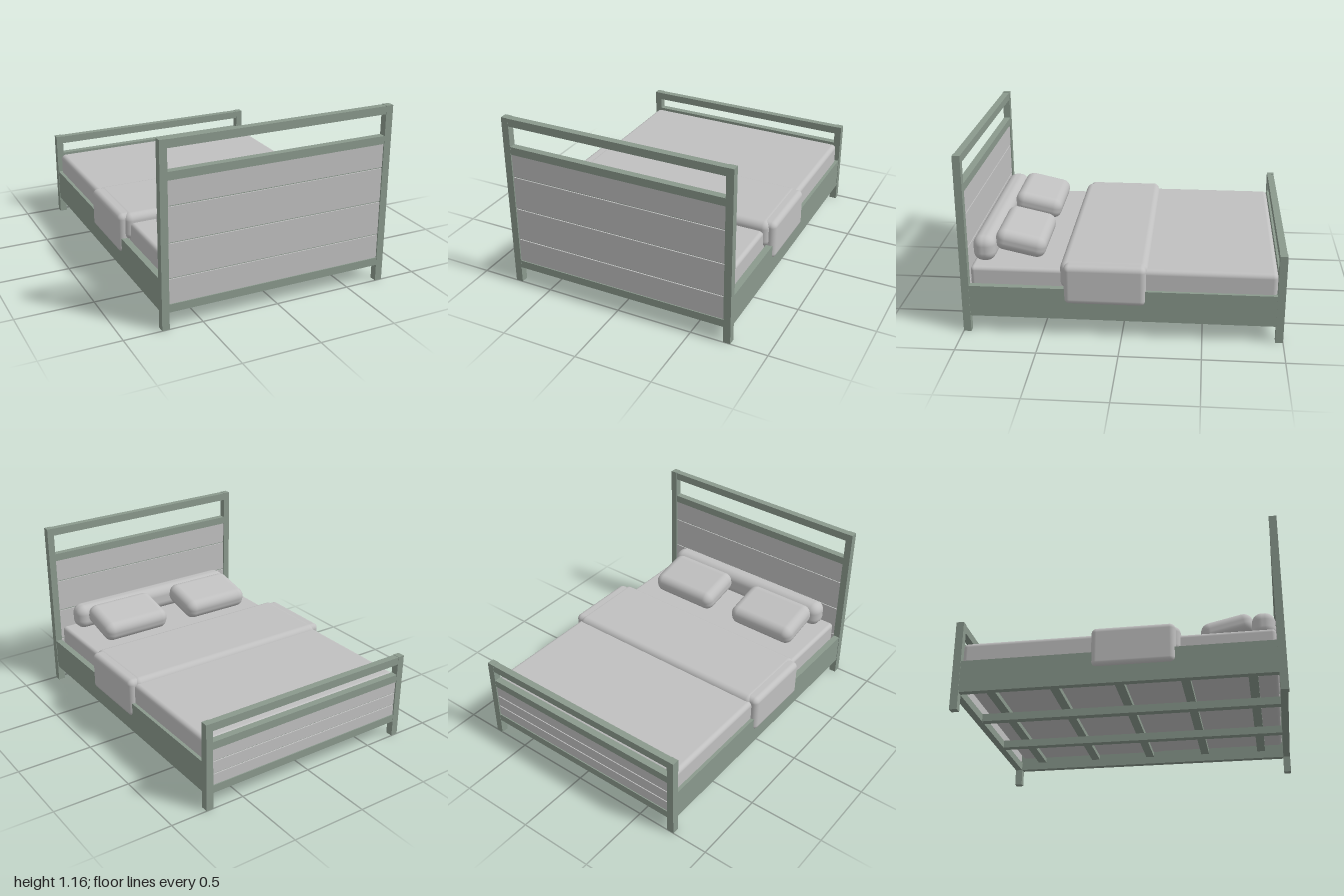
import * as THREE from 'three';
import { RoundedBoxGeometry } from 'three/addons/geometries/RoundedBoxGeometry.js';

export function createModel() {
  const bed = new THREE.Group();
  bed.name = 'bed';

  const green = new THREE.MeshStandardMaterial({ color: 0x8a998d });
  green.name = 'sage frame';
  const grey = new THREE.MeshStandardMaterial({ color: 0xc0c0c0 });
  grey.name = 'light grey';

  function place(name, geometry, material, x, y, z, parent) {
    const mesh = new THREE.Mesh(geometry, material);
    mesh.name = name;
    mesh.position.set(x, y, z);
    parent.add(mesh);
    return mesh;
  }

  // Hard-edged box given by its limits on each axis
  function box(name, material, [x0, x1], [y0, y1], [z0, z1], parent = bed) {
    return place(name, new THREE.BoxGeometry(x1 - x0, y1 - y0, z1 - z0), material,
      (x0 + x1) / 2, (y0 + y1) / 2, (z0 + z1) / 2, parent);
  }

  // Soft box given by its limits on each axis
  function soft(name, [x0, x1], [y0, y1], [z0, z1], radius, parent = bed) {
    return place(name, new RoundedBoxGeometry(x1 - x0, y1 - y0, z1 - z0, 5, radius), grey,
      (x0 + x1) / 2, (y0 + y1) / 2, (z0 + z1) / 2, parent);
  }

  // Headboard or footboard: posts, three rails, planks with narrow grooves
  function endBoard(name, z, height, midTop, grooves) {
    const board = new THREE.Group();
    board.name = name;
    board.position.z = z;
    bed.add(board);
    const inner = [-0.713, 0.713];
    for (const s of [-1, 1]) {
      box('post', green, [s * 0.7365 - 0.0235, s * 0.7365 + 0.0235], [0, height], [-0.024, 0.024], board);
    }
    for (const top of [height - 0.002, midTop, 0.16]) {
      box('crossRail', green, inner, [top - 0.051, top], [-0.0225, 0.0225], board);
    }
    const edges = [0.156, ...grooves, midTop - 0.047];
    for (let i = 0; i < edges.length - 1; i++) {
      box('plank', grey, inner, [edges[i] + 0.004, edges[i + 1] - 0.004], [-0.016, 0.016], board);
    }
    box('plankBacking', green, inner, [0.14, midTop - 0.03], [-0.008, 0.008], board);
  }
  endBoard('headboard', 0.976, 1.163, 0.973, [0.32, 0.542, 0.766]);
  endBoard('footboard', -0.976, 0.582, 0.455, [0.235, 0.32]);

  // Side rails, lengthwise beams and cross slats
  for (const s of [-1, 1]) {
    box('sideRail', green, [s * 0.736 - 0.021, s * 0.736 + 0.021], [0.11, 0.315], [-0.953, 0.953]);
    box('supportBeam', green, [s * 0.25 - 0.025, s * 0.25 + 0.025], [0.11, 0.16], [-0.955, 0.955]);
  }
  for (let i = -2; i <= 2; i++) {
    box('slat', green, [-0.716, 0.716], [0.16, 0.19], [i * 0.4 - 0.028, i * 0.4 + 0.028]);
  }

  // Mattress, cover and folded throw
  soft('mattress', [-0.703, 0.703], [0.19, 0.42], [-0.945, 0.95], 0.025);
  soft('cover', [-0.735, 0.735], [0.195, 0.447], [-0.953, 0.1], 0.03);
  soft('throwTop', [-0.735, 0.735], [0.3, 0.476], [-0.163, 0.385], 0.045);
  soft('throwDrape', [-0.773, 0.773], [0.215, 0.474], [-0.15, 0.36], 0.035);

  // Bolster against the headboard and two tilted pillows
  soft('bolster', [-0.63, 0.63], [0.414, 0.584], [0.808, 0.951], 0.062);
  for (const x of [-0.35, 0.322]) {
    const pillow = soft('pillow', [x - 0.248, x + 0.248], [0.442, 0.582], [0.495, 0.823], 0.06);
    pillow.rotation.x = -0.22;
  }

  return bed;
}
